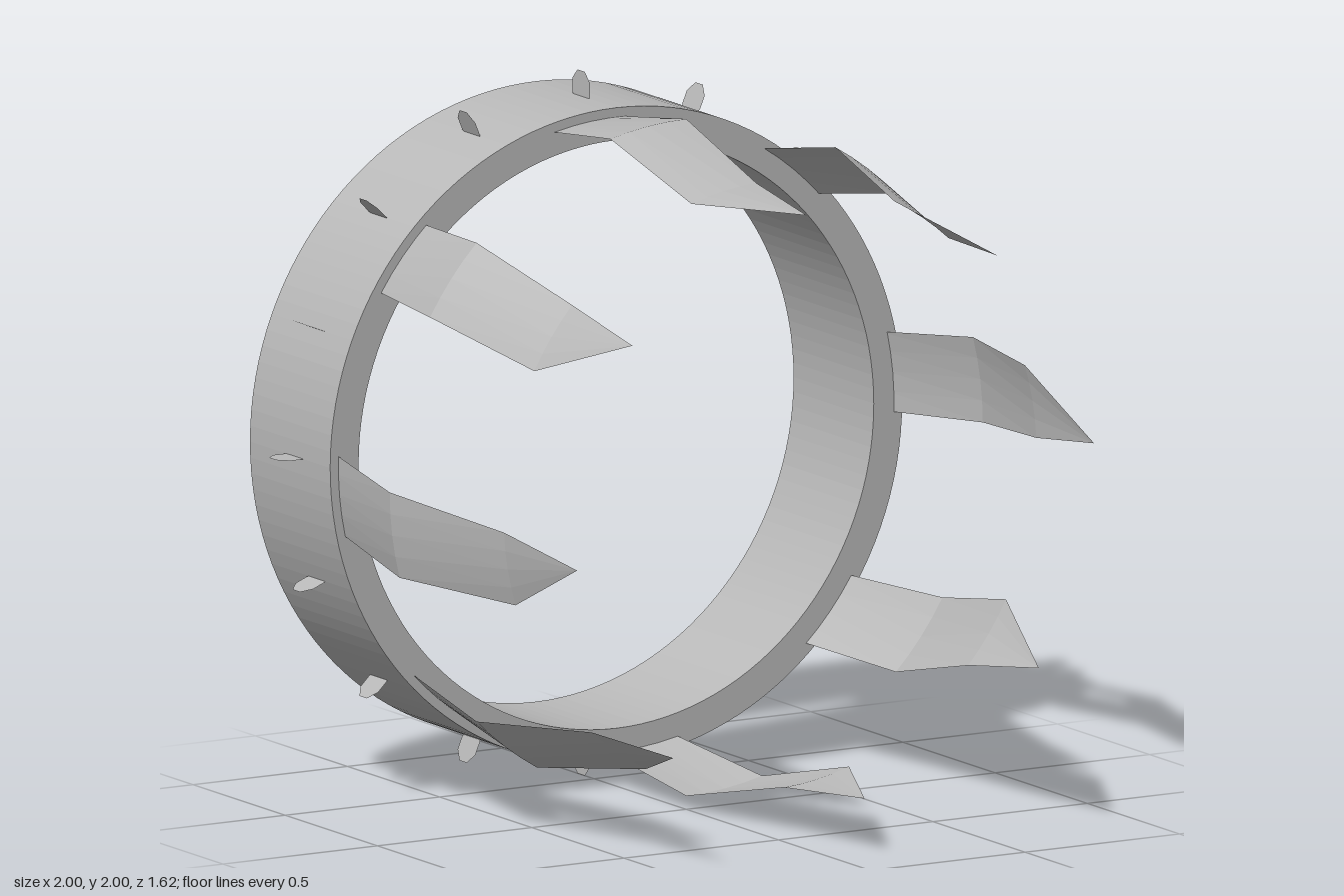
import * as THREE from 'three';

const CENTRE_Y = 1.0;

const metal = new THREE.MeshStandardMaterial({ color: 0xb8b8b8, side: THREE.DoubleSide, flatShading: true });
metal.name = 'grey metal';

// Flat-sided hoop around the z axis
function hoopGeometry() {
  const shape = new THREE.Shape().absarc(0, 0, 0.926, 0, Math.PI * 2, false);
  shape.holes.push(new THREE.Path().absarc(0, 0, 0.834, 0, Math.PI * 2, true));
  const geo = new THREE.ExtrudeGeometry(shape, { depth: 0.435, bevelEnabled: false, curveSegments: 64 });
  return geo.translate(0, 0, -0.815);
}

// Curved, kinked sheet: each station is [z, radius, start angle, end angle] in degrees
function bladeGeometry() {
  const stations = [
    [-0.42, 0.893, -2.1, 12.6],
    [0, 0.96, 0, 14.8],
    [0.455, 0.863, 3, 17.2],
    [0.81, 0.842, 6.4, 6.4],
  ];
  const cols = 4;
  const pos = [], index = [];
  for (const [z, r, a0, a1] of stations) {
    for (let j = 0; j <= cols; j++) {
      const a = THREE.MathUtils.degToRad(a0 + (a1 - a0) * j / cols);
      pos.push(r * Math.cos(a), r * Math.sin(a), z);
    }
  }
  for (let k = 0; k < stations.length - 1; k++) {
    for (let j = 0; j < cols; j++) {
      const a = k * (cols + 1) + j, b = a + 1, c = a + cols + 1, d = c + 1;
      index.push(a, c, b);
      if (k < stations.length - 2) index.push(b, c, d);
    }
  }
  // the rows leading to the tip become a fan of triangles
  const geo = new THREE.BufferGeometry();
  geo.setAttribute('position', new THREE.Float32BufferAttribute(pos, 3));
  geo.setIndex(index);
  geo.computeVertexNormals();
  return geo;
}

// Small octagonal disc standing edge-on to the hoop
function studGeometry() {
  const geo = new THREE.CircleGeometry(0.052, 8, Math.PI / 8);
  return geo.rotateX(-Math.PI / 2).translate(0.95, 0, -0.57);
}

// Copies one geometry evenly around the z axis
function radialSet(name, geometry, count) {
  const group = new THREE.Group();
  group.name = name + 's';
  for (let i = 0; i < count; i++) {
    const mesh = new THREE.Mesh(geometry, metal);
    mesh.name = name;
    mesh.rotation.z = i * Math.PI * 2 / count;
    group.add(mesh);
  }
  return group;
}

export function createModel() {
  const model = new THREE.Group();
  model.name = 'bladedHoop';
  const body = new THREE.Group();
  body.name = 'body';
  body.position.y = CENTRE_Y;

  const hoop = new THREE.Mesh(hoopGeometry(), metal);
  hoop.name = 'hoop';
  body.add(hoop, radialSet('blade', bladeGeometry(), 8), radialSet('stud', studGeometry(), 16));

  model.add(body);
  return model;
}
